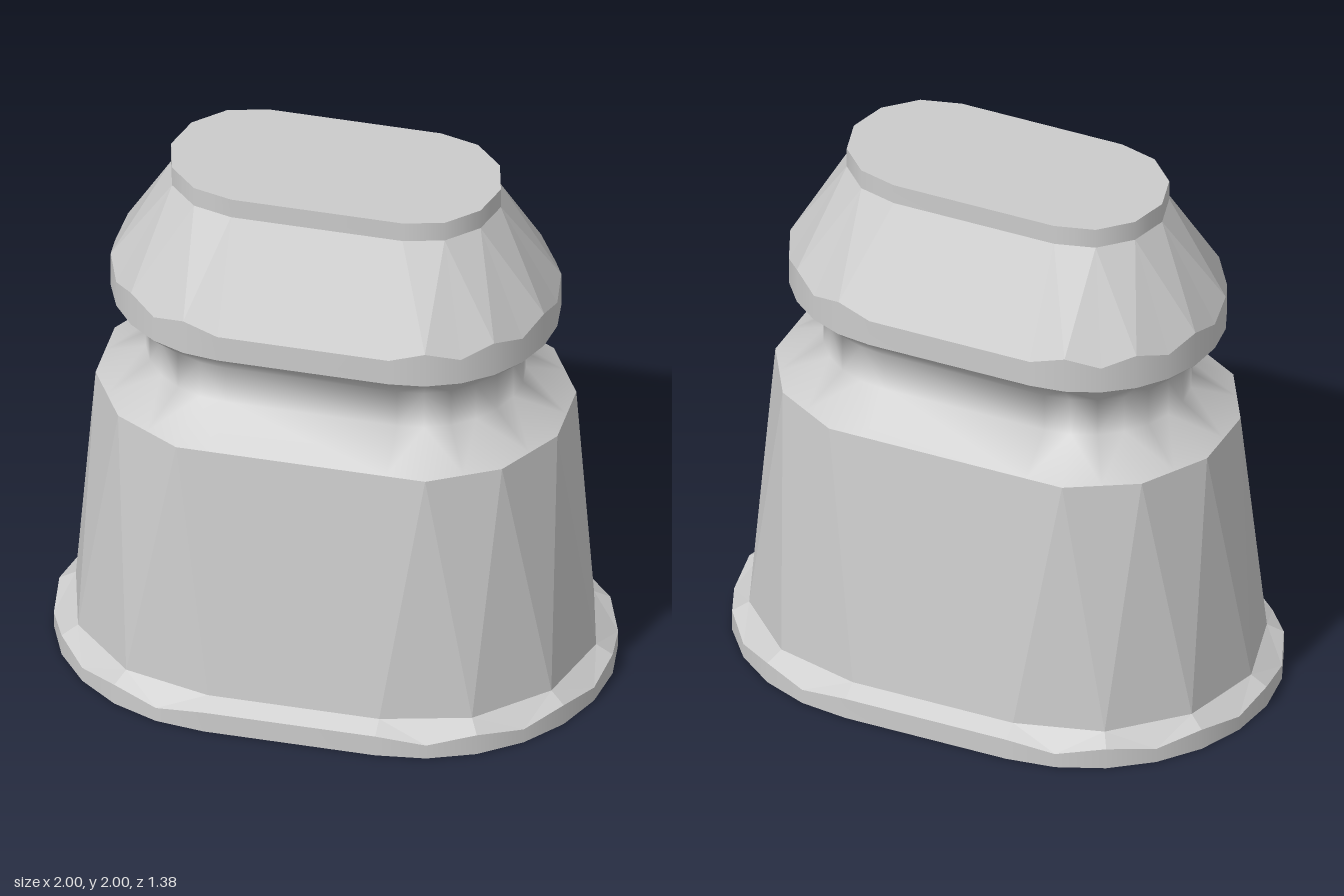
import * as THREE from 'three';

const CX = 0.31;              // centres of the two rounded ends
const STEP = Math.PI / 12;    // 15 degrees
const CHORD = Math.cos(STEP);

// Stadium ring of 26 points; radii and heights may differ for even and odd points
function ring(rEven, rOdd, yEven, yOdd = yEven) {
  const pts = [];
  for (const side of [1, -1]) {
    for (let i = 0; i <= 12; i++) {
      const a = side * (-Math.PI / 2 + i * STEP) * side + (side < 0 ? Math.PI : 0);
      const r = i % 2 ? rOdd : rEven;
      pts.push([side * CX + r * Math.cos(a), i % 2 ? yOdd : yEven, r * Math.sin(a)]);
    }
  }
  return pts;
}
const round = (r, y, yOdd = y) => ring(r, r, y, yOdd);          // 12 sides per end
const coarse = (r, y) => ring(r, r * CHORD, y);                 // corners on even points
const coarseTurned = (r, y) => ring(r * CHORD, r, y);           // corners on odd points

// Skin over stacked rings; lowEven picks which way the diagonals alternate
function skin(name, rings, { flat = false, lowEven = true } = {}) {
  const n = rings[0].length;
  const index = [];
  for (let k = 0; k < rings.length - 1; k++) {
    for (let i = 0; i < n; i++) {
      const j = (i + 1) % n;
      const a = k * n + i, a2 = k * n + j, b = a + n, b2 = a2 + n;
      const even = (i % 13) % 2 === 0;
      if (even === lowEven) index.push(a, b, b2, a, b2, a2);
      else index.push(a, b, a2, b, b2, a2);
    }
  }
  let geo = new THREE.BufferGeometry();
  geo.setAttribute('position', new THREE.Float32BufferAttribute(rings.flat(2), 3));
  geo.setIndex(index);
  if (flat) geo = geo.toNonIndexed();
  geo.computeVertexNormals();
  const mesh = new THREE.Mesh(geo, new THREE.MeshStandardMaterial({
    color: 0xcccccc, flatShading: flat, side: THREE.DoubleSide,
  }));
  mesh.name = name;
  return mesh;
}

export function createModel() {
  const group = new THREE.Group();
  group.name = 'ovalPedestal';

  const rimTop = round(0.69, 0.08, 0.055);
  const bodyBottom = coarse(0.63, 0.115);
  const bodyTop = coarseTurned(0.543, 1.08);
  const headBottom = round(0.49, 1.45);
  const headEdge = round(0.49, 1.55, 1.585);
  const collarBottom = coarse(0.286, 1.925);
  const collarTop = coarse(0.286, 2);

  group.add(
    // Foot rim, open underneath
    skin('footRim', [round(0.69, 0), rimTop]),
    skin('footBevel', [rimTop, bodyBottom], { flat: true, lowEven: false }),
    // Tapered faceted body
    skin('body', [bodyBottom, bodyTop], { flat: true }),
    // Smooth waist between body and head
    skin('neck', [bodyTop, round(0.367, 1.19), round(0.367, 1.335), headBottom]),
    // Head with faceted shoulders
    skin('headBand', [headBottom, headEdge]),
    skin('headShoulder', [headEdge, collarBottom], { flat: true, lowEven: false }),
    skin('collar', [collarBottom, collarTop]),
  );

  // Flat lid
  const lidShape = new THREE.Shape(collarTop.map(([x, , z]) => new THREE.Vector2(x, -z)));
  const lid = new THREE.Mesh(
    new THREE.ShapeGeometry(lidShape).rotateX(-Math.PI / 2).translate(0, 2, 0),
    new THREE.MeshStandardMaterial({ color: 0xcccccc, side: THREE.DoubleSide }),
  );
  lid.name = 'lid';
  group.add(lid);
  return group;
}
